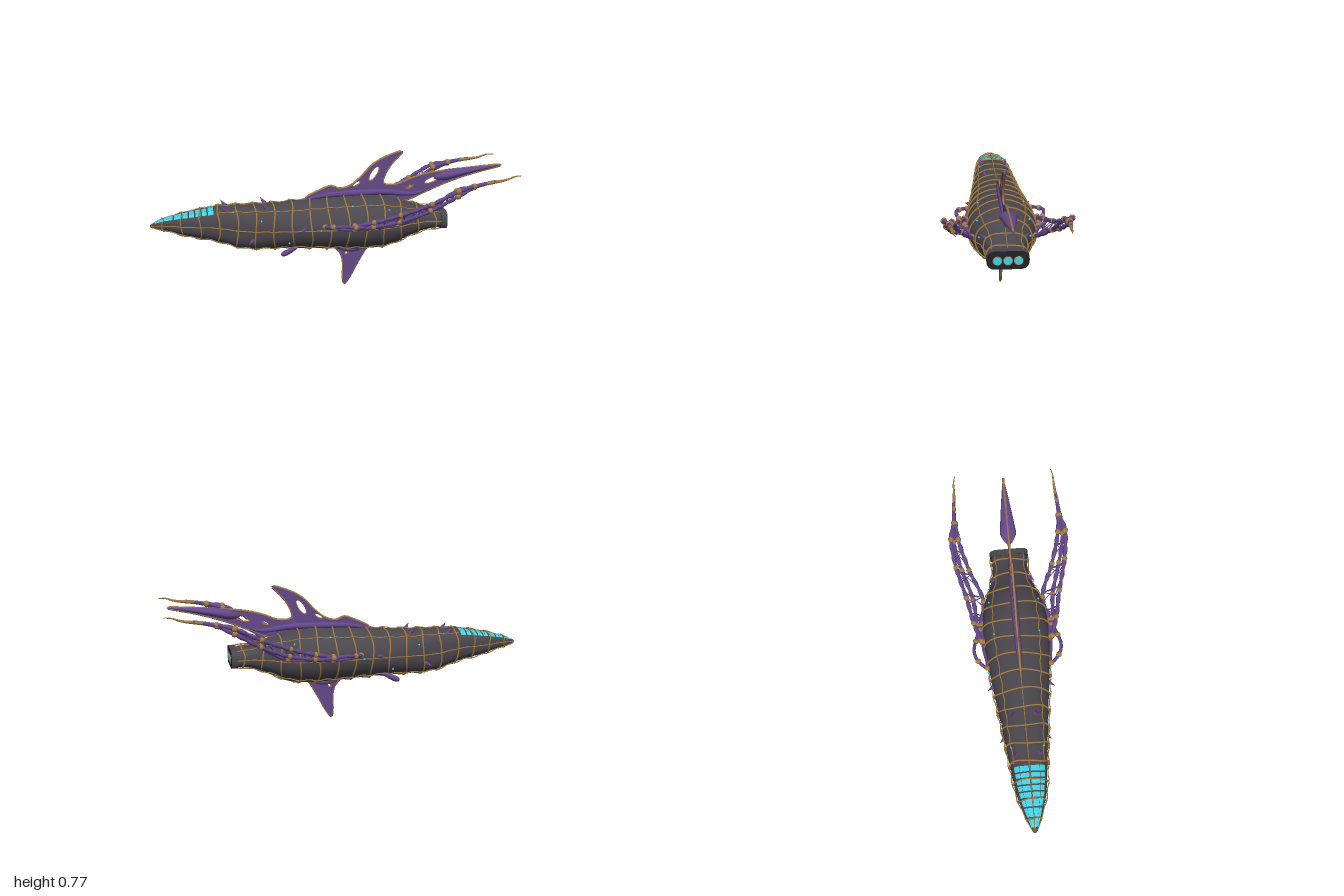
import * as THREE from 'three';
import { mergeGeometries } from 'three/addons/utils/BufferGeometryUtils.js';

const V = (x, y, z = 0) => new THREE.Vector3(x, y, z);
const mat = (name, color, side = THREE.FrontSide) => {
  const m = new THREE.MeshStandardMaterial({ color, side });
  m.name = name;
  return m;
};

// hull stations: x, top, bottom, half width
const stations = [
  [-1, .395, .385, .006], [-.97, .41, .376, .02], [-.9, .434, .362, .047], [-.8, .457, .335, .077], [-.65, .482, .302, .098],
  [-.5, .488, .254, .115], [-.3, .494, .242, .14], [-.1, .51, .234, .165], [.1, .522, .223, .183],
  [.22, .524, .223, .182], [.32, .51, .236, .165], [.42, .475, .28, .125], [.5, .45, .312, .104],
  [.57, .432, .33, .1], [.62, .43, .332, .105],
];
const spline = new THREE.CubicInterpolant(stations.map(s => s[0]), stations.flatMap(s => s.slice(1)), 3, [0, 0, 0]);
const power = (v, e) => Math.sign(v) * Math.abs(v) ** e;
// point on the hull; angle runs from the top towards +z, sections get squarer towards both ends
function hullPoint(x, a, off = 0) {
  const [top, bottom, half] = spline.evaluate(x);
  const e = 1 - .32 * THREE.MathUtils.smoothstep(Math.abs(x - .05), .2, .6);
  return V(x, (top + bottom) / 2 + ((top - bottom) / 2 + off) * power(Math.cos(a), e), (half + off) * power(Math.sin(a), e));
}

// skin over a grid of points; closed joins the last column to the first
function loft(fn, nu, nv, closed = true) {
  const pos = [], idx = [], w = closed ? nv : nv + 1;
  for (let i = 0; i <= nu; i++) for (let j = 0; j < w; j++) pos.push(...fn(i / nu, j / nv).toArray());
  for (let i = 0; i < nu; i++) for (let j = 0; j < nv; j++) {
    const k = (j + 1) % w, a = i * w + j, b = i * w + k;
    idx.push(a, b, a + w, b, b + w, a + w);
  }
  const g = new THREE.BufferGeometry();
  g.setAttribute('position', new THREE.Float32BufferAttribute(pos, 3));
  g.setIndex(idx);
  g.computeVertexNormals();
  return g;
}

// round tube whose radius follows a rule
function taper(points, radius, n = 24, sides = 8) {
  const c = new THREE.CatmullRomCurve3(points), f = c.computeFrenetFrames(n);
  return loft((u, v) => {
    const i = Math.round(u * n), r = radius(u), a = v * Math.PI * 2;
    return c.getPointAt(u).addScaledVector(f.normals[i], r * Math.cos(a)).addScaledVector(f.binormals[i], r * Math.sin(a));
  }, n, sides);
}
const tube = (points, r, n, closed = false, sides = 6) =>
  new THREE.TubeGeometry(new THREE.CatmullRomCurve3(points, closed), n, r, sides, closed);
const ball = (p, r) => new THREE.SphereGeometry(r, 12, 8).translate(p.x, p.y, p.z);

export function createModel() {
  const root = new THREE.Group();
  root.name = 'airship';
  const hullMat = mat('charcoal hull', 0x4a474d);
  const dark = mat('dark engine face', 0x232125);
  const purple = mat('purple membrane', 0x634889);
  const gold = mat('bronze trim', 0xa37b43);
  const cyan = mat('cyan glow', 0x41d2e4, THREE.DoubleSide);
  const add = (name, geo, m, parent = root) => {
    const mesh = new THREE.Mesh(Array.isArray(geo) ? mergeGeometries(geo) : geo, m);
    mesh.name = name;
    parent.add(mesh);
    return mesh;
  };

  // hull
  add('hull', loft((u, v) => hullPoint(-1 + 1.62 * u, v * Math.PI * 2), 90, 48), hullMat);

  // ribs and lengthwise stringers
  const ribs = [];
  for (let k = 0; k < 16; k++) {
    const x = -.93 + k * .1, pts = [];
    for (let j = 0; j < 32; j++) {
      const a = j / 32 * Math.PI * 2;
      pts.push(hullPoint(x + .006 * Math.sin(3 * a + k), a, .005));
    }
    ribs.push(tube(pts, k < 3 ? .0035 : .0045, 64, true));
  }
  add('ribs', ribs, gold);
  const stringers = [];
  for (const a of [0, .72, 1.57, 2.4, 3.1416, 3.88, 4.71, 5.56]) {
    const pts = [], start = Math.cos(a) > .5 && a > 0 ? -.64 : -.995;
    for (let i = 0; i <= 64; i++) {
      const x = start + i / 64 * (.605 - start);
      const lift = .003 + .008 * Math.cos((x + .93) * Math.PI * 10) ** 2;
      pts.push(hullPoint(x, a, lift * Math.min(1, (x + 1) * 5)));
    }
    stringers.push(tube(pts, .0032, 128, false, 5));
  }
  add('stringers', stringers, gold);
  add('noseCap', ball(V(-.991, .39), .009), gold);

  // canopy panes, two on each side of the ridge
  const rows = [-.978, -.925, -.872, -.826, -.791, -.757, -.722, -.69, -.652], panes = [];
  for (let i = 0; i < rows.length - 1; i++) for (let j = 0; j < 4; j++) {
    const a0 = -.86 + j * .43 + .012;
    panes.push(loft((u, v) => hullPoint(rows[i] + .004 + u * (rows[i + 1] - rows[i] - .008), a0 + v * .406, .0035), 3, 6, false));
  }
  add('canopyPanes', panes, cyan);

  // engine block with three exhausts
  const block = new THREE.Shape(), bw = .11, bh = .05, br = .048;
  block.moveTo(-bw + br, -bh).lineTo(bw - br, -bh).quadraticCurveTo(bw, -bh, bw, -bh + br)
    .lineTo(bw, bh - br).quadraticCurveTo(bw, bh, bw - br, bh).lineTo(-bw + br, bh)
    .quadraticCurveTo(-bw, bh, -bw, bh - br).lineTo(-bw, -bh + br).quadraticCurveTo(-bw, -bh, -bw + br, -bh);
  add('engineBlock', new THREE.ExtrudeGeometry(block, { depth: .035, bevelEnabled: false, curveSegments: 8 })
    .rotateY(Math.PI / 2).translate(.602, .381, 0), [dark, hullMat]);
  for (const z of [-.054, 0, .054]) {
    add('exhaust', new THREE.CylinderGeometry(.0215, .0215, .006, 24).rotateZ(-Math.PI / 2).translate(.638, .379, z), cyan);
    add('exhaustRing', new THREE.TorusGeometry(.0232, .0017, 6, 28).rotateY(Math.PI / 2).translate(.639, .379, z), gold);
  }

  // flat fins with holes and bronze edging
  function fin(name, outline, holes, half) {
    const c = new THREE.CatmullRomCurve3(outline.map(p => V(...p)), true);
    const shape = new THREE.Shape(c.getPoints(110).slice(0, -1).map(p => new THREE.Vector2(p.x, p.y)));
    const rims = [new THREE.TubeGeometry(c, 130, .0065, 6, true)];
    for (const [x, y, rx, ry, rot] of holes) {
      const path = new THREE.Path().absellipse(x, y, rx, ry, 0, Math.PI * 2, false, rot);
      shape.holes.push(path);
      rims.push(tube(path.getPoints(18).slice(0, -1).map(p => V(p.x, p.y)), .005, 28, true));
    }
    const g = new THREE.ExtrudeGeometry(shape, { depth: half * 2, bevelEnabled: false, curveSegments: 14 });
    add(name, g.translate(0, 0, -half), purple);
    add(name + 'Rim', rims, gold);
  }
  fin('dorsalFin', [[-.15, .51], [-.06, .56], [0, .58], [.04, .563], [.1, .575], [.16, .62], [.23, .692], [.3, .733],
    [.4, .763], [.345, .705], [.305, .645], [.29, .585], [.36, .575], [.45, .608], [.54, .632], [.7, .65], [.97, .667],
    [.8, .625], [.65, .578], [.52, .525], [.42, .485], [.3, .49], [0, .49]],
  [[.238, .642, .048, .019, 1], [.14, .588, .026, .011, .5], [.565, .595, .045, .016, .35], [.44, .562, .025, .01, .4]], .0055);
  fin('ventralFin', [[.02, .235], [.055, .18], [.066, .12], [.064, .05], [.072, .008], [.105, .05], [.145, .125],
    [.185, .195], [.21, .235]], [[.085, .195, .016, .01, 1.2]], .0075);
  add('dorsalRoot', taper([V(-.19, .495), V(-.05, .525), V(.15, .535), V(.3, .535), V(.46, .52), V(.56, .545)],
    u => .001 + .019 * Math.sin(u * Math.PI) ** .6), purple);
  add('ventralRoot', taper([V(.01, .225), V(.1, .212), V(.22, .225)], u => .001 + .018 * Math.sin(u * Math.PI)), purple);
  // lens-shaped spike behind the dorsal fin
  add('dorsalSpike', loft((u, v) => {
    const a = v * Math.PI * 2, w = Math.min(1, u * 6) ** .7 * (1 - u) ** .85;
    return V(.575 + .395 * u, .603 + .064 * u ** .75 + .035 * w * Math.cos(a), .054 * w * Math.sin(a));
  }, 28, 16), purple);

  // lattice tendrils on both flanks
  for (const s of [1, -1]) {
    const wing = new THREE.Group();
    wing.name = s > 0 ? 'frontTendril' : 'backTendril';
    root.add(wing);
    const rails = [
      [[.1, .4, .2], [.2, .425, .232], [.34, .468, .262], [.5, .535, .305], [.64, .605, .32], [.73, .625, .297]],
      [[.1, .39, .185], [.2, .388, .195], [.34, .39, .168], [.5, .485, .235], [.64, .598, .28], [.73, .622, .288]],
      [[.1, .38, .195], [.2, .395, .215], [.34, .42, .225], [.5, .49, .275], [.64, .575, .308], [.73, .618, .295]],
    ].map(r => r.map(p => V(p[0], p[1], p[2] * s)));
    const curves = rails.map(r => new THREE.CatmullRomCurve3(r));
    add('rails', rails.map(r => taper(r, u => .0085 + .0045 * Math.cos(u * Math.PI * 10) ** 2, 50)), purple, wing);
    // cross struts
    const struts = [], joints = [];
    for (let i = 1; i < 14; i++) for (let k = 0; k < 3; k++) {
      const a = curves[k].getPoint(i / 14), b = curves[(k + 1) % 3].getPoint((i + (i % 2)) / 14);
      const mid = a.clone().lerp(b, .5);
      struts.push(tube([a, mid, b], .0028, 3, false, 5));
    }
    add('struts', struts, purple, wing);
    rails.forEach(r => r.forEach((p, i) => joints.push(ball(p, i === 4 || i === 0 ? .017 : .0155))));
    // root loop clinging to the hull
    const loop = [[-.06, .395, .178], [-.02, .405, .225], [.03, .412, .243], [.1, .4, .23], [.17, .39, .2],
      [.06, .38, .19]].map(p => V(p[0], p[1], p[2] * s));
    add('rootLoop', tube(loop, .0095, 50, true, 8), purple, wing);
    for (const i of [0, 1, 3, 4]) joints.push(ball(loop[i], .016));
    add('joints', joints, gold, wing);
    // tapering tip
    add('tipBase', taper([V(.7, .615, .298 * s), V(.77, .63, .293 * s), V(.85, .645, .287 * s)],
      u => .014 - .006 * u), purple, wing);
    add('tip', taper([V(.8, .636, .291 * s), V(.91, .65, .282 * s), V(.96, .666, .28 * s), V(1, .667, .271 * s)],
      u => .0115 - .0095 * u), gold, wing);

    // belly pods with a rounded end
    add('bellyPod', taper([V(-.2, .27, .095 * s), V(-.25, .245, .107 * s), V(-.295, .226, .111 * s)],
      u => (.01 + .01 * u) * Math.sqrt(Math.max(0, 1 - u ** 6))), purple);

    // thorns and small lamps on the skin
    const up = V(0, 1, 0);
    const thorns = [[-.59, .5], [-.37, .38], [-.17, 1.5], [.45, 1.05], [-.45, 1.9]].map(([x, a]) => {
      const p = hullPoint(x, a * s), d = hullPoint(x, a * s, 1).sub(p).normalize().add(V(-.7, 0, 0)).normalize();
      return new THREE.ConeGeometry(.014, .045, 8).applyQuaternion(new THREE.Quaternion().setFromUnitVectors(up, d))
        .translate(...p.addScaledVector(d, .016).toArray());
    });
    add('thorns', thorns, purple);
    const lamps = [[-.55, .72], [-.4, 1.2], [-.08, 1.57], [.1, .72], [.3, .9], [-.25, 2.1], [.4, 1.3]]
      .map(([x, a]) => ball(hullPoint(x, a * s, .007), .0055));
    add('lamps', lamps, cyan);
  }
  return root;
}
